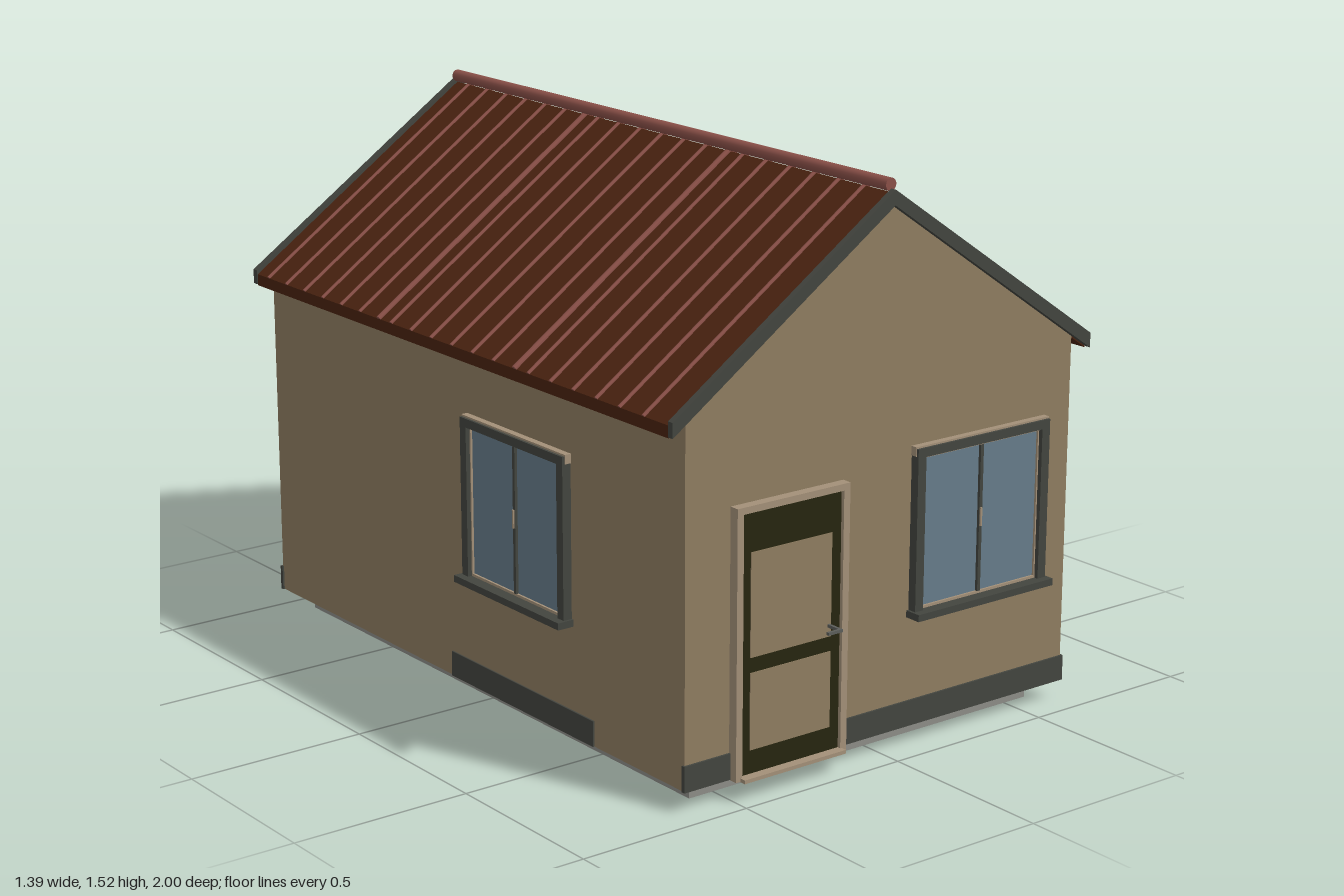
import * as THREE from 'three';

const mat = (name, color) => Object.assign(new THREE.MeshStandardMaterial({ color }), { name });

export function createModel() {
  const M = {
    wall: mat('sand wall', 0x8f7d61),
    trim: mat('dark grey trim', 0x43453f),
    tan: mat('light tan frame', 0xa39078),
    glass: mat('blue glass', 0x667c8a),
    roof: mat('dark brown roof', 0x4a2310),
    ridge: mat('red ridge', 0x8a5048),
    slab: mat('grey concrete', 0x8c8c87),
    door: mat('dark door', 0x26250f),
    metal: mat('metal handle', 0x5c5e5a),
  };
  const house = new THREE.Group();
  house.name = 'house';

  const add = (parent, name, geo, material) => {
    const mesh = new THREE.Mesh(geo, material);
    mesh.name = name;
    parent.add(mesh);
    return mesh;
  };
  // box given by its limits on each axis
  const box = (parent, name, material, x0, x1, y0, y1, z0, z1) => {
    const mesh = add(parent, name, new THREE.BoxGeometry(x1 - x0, y1 - y0, z1 - z0), material);
    mesh.position.set((x0 + x1) / 2, (y0 + y1) / 2, (z0 + z1) / 2);
    return mesh;
  };
  // outline in x and y, extruded between two z positions
  const prism = (parent, name, material, points, z0, z1) => {
    const shape = new THREE.Shape(points.map(([x, y]) => new THREE.Vector2(x, y)));
    const geo = new THREE.ExtrudeGeometry(shape, { depth: z1 - z0, bevelEnabled: false });
    add(parent, name, geo, material).position.z = z0;
  };

  // foundation and walls
  const F = 0.93, B = -0.98;
  box(house, 'foundation', M.slab, -0.575, 0.575, 0, 0.06, -0.915, 0.865);
  prism(house, 'walls', M.wall,
    [[-0.64, 0.055], [0.64, 0.055], [0.64, 1.015], [0, 1.46], [-0.64, 1.015]], B, F);

  // base strips: full width at the ends, short ones along the sides
  box(house, 'frontBaseStrip', M.trim, -0.645, 0.645, 0.055, 0.125, F - 0.005, F + 0.006);
  box(house, 'backBaseStrip', M.trim, -0.645, 0.645, 0.055, 0.125, B - 0.006, B + 0.005);
  for (const s of [-1, 1]) {
    const strip = box(house, 'sideBaseStrip', M.trim, 0.635, 0.645, 0.055, 0.125, -0.09, 0.555);
    strip.position.x *= s;
  }

  // roof covering and the boards at both gables
  const chevron = (x, topPeak, topEave, lowPeak, lowEave) =>
    [[-x, lowEave], [0, lowPeak], [x, lowEave], [x, topEave], [0, topPeak], [-x, topEave]];
  prism(house, 'roof', M.roof, chevron(0.69, 1.483, 1.007, 1.452, 0.975), B, F);
  const board = chevron(0.692, 1.492, 1.018, 1.452, 0.978);
  prism(house, 'frontGableBoard', M.trim, board, F, 0.948);
  prism(house, 'backGableBoard', M.trim, board, -1, B);

  // seams running down each slope, in three sheets
  const slope = Math.atan2(0.69, 0.476), run = Math.hypot(0.69, 0.476);
  const seam = (name, s, z, r) => {
    const mesh = add(house, name, new THREE.CylinderGeometry(r, r, run, 8), M.ridge);
    mesh.position.set(s * 0.345, 1.245, z);
    mesh.rotation.z = s * slope;
  };
  for (const s of [-1, 1]) {
    for (let sheet = 0; sheet < 3; sheet++) {
      const z0 = B + sheet * 0.635;
      if (sheet) seam('sheetJoint', s, z0, 0.009);
      for (let i = 0; i < 6; i++) seam('roofSeam', s, z0 + 0.06 + i * 0.096, 0.006);
    }
  }
  const ridge = add(house, 'ridgeCap', new THREE.CylinderGeometry(0.017, 0.017, F - B, 16), M.ridge);
  ridge.rotation.x = Math.PI / 2;
  ridge.position.set(0, 1.502, (F + B) / 2);

  // window facing +z, centred on x = 0, wall plane at z = 0
  const makeWindow = (name) => {
    const w = new THREE.Group();
    w.name = name;
    box(w, 'glass', M.glass, -0.205, 0.205, 0.375, 0.79, -0.005, 0.008);
    box(w, 'head', M.trim, -0.23, 0.23, 0.786, 0.81, 0, 0.026);
    box(w, 'headCap', M.tan, -0.232, 0.232, 0.79, 0.815, -0.005, 0.019);
    box(w, 'sill', M.trim, -0.237, 0.237, 0.355, 0.374, -0.005, 0.048);
    box(w, 'lowerLedge', M.tan, -0.203, 0.203, 0.374, 0.381, 0, 0.014);
    box(w, 'upperLedge', M.tan, -0.203, 0.203, 0.78, 0.786, 0, 0.014);
    for (const s of [-1, 1]) {
      const post = box(w, 'jamb', M.trim, 0.203, 0.23, 0.374, 0.79, 0, 0.026);
      const bead = box(w, 'bead', M.tan, 0.199, 0.203, 0.381, 0.78, 0, 0.014);
      post.position.x *= s;
      bead.position.x *= s;
    }
    box(w, 'mullion', M.trim, -0.005, 0.005, 0.381, 0.78, 0, 0.016);
    box(w, 'latch', M.tan, -0.004, 0.002, 0.56, 0.61, 0.016, 0.02);
    house.add(w);
    return w;
  };
  makeWindow('frontWindow').position.set(0.318, 0, F);
  for (const s of [-1, 1]) {
    const w = makeWindow(s > 0 ? 'leftWindow' : 'rightWindow');
    w.position.set(s * 0.64, 0, 0.23);
    w.rotation.y = s * Math.PI / 2;
  }

  // door with frame, two panels, threshold and handle
  const door = new THREE.Group();
  door.name = 'door';
  door.position.set(-0.32, 0, F);
  house.add(door);
  box(door, 'doorLeaf', M.door, -0.162, 0.162, 0.06, 0.752, 0, 0.018);
  box(door, 'lowerPanel', M.wall, -0.13, 0.13, 0.125, 0.33, 0.014, 0.02);
  box(door, 'upperPanel', M.wall, -0.13, 0.13, 0.37, 0.645, 0.014, 0.02);
  box(door, 'frameHead', M.tan, -0.162, 0.162, 0.75, 0.768, 0, 0.028);
  box(door, 'frameLeft', M.tan, 0.16, 0.18, 0.053, 0.768, 0, 0.028);
  box(door, 'frameRight', M.tan, -0.18, -0.16, 0.053, 0.768, 0, 0.028);
  box(door, 'threshold', M.tan, -0.165, 0.165, 0.052, 0.062, 0, 0.045);
  box(door, 'handleStem', M.metal, 0.118, 0.126, 0.396, 0.404, 0.015, 0.07);
  box(door, 'handleGrip', M.metal, 0.08, 0.126, 0.396, 0.404, 0.062, 0.07);

  return house;
}
